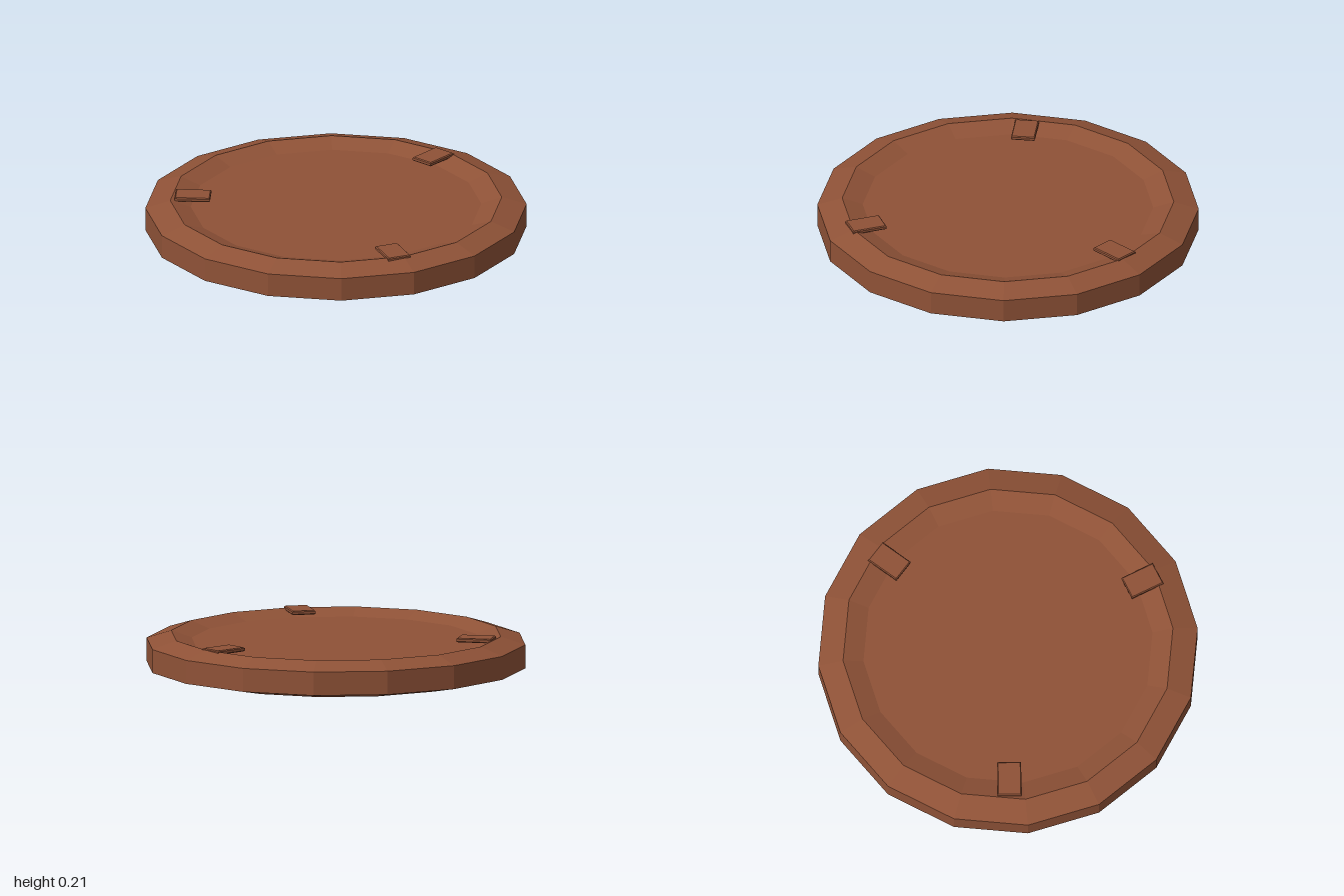
import * as THREE from 'three';

const brown = new THREE.MeshStandardMaterial({ color: 0x8f5237 });
brown.name = 'terracotta brown';
brown.flatShading = true;

// Sixteen-sided dish: bevelled foot, upright wall, sloping rim, shallow sunken floor
function makeDish() {
  const profile = [
    [0, 0], [0.81, 0], [1.0037, 0.04], [1.0037, 0.165],
    [0.873, 0.206], [0.765, 0.17], [0, 0.17],
  ].map(([r, y]) => new THREE.Vector2(r, y));
  const dish = new THREE.Mesh(
    new THREE.LatheGeometry(profile, 16, THREE.MathUtils.degToRad(-4.9)), brown);
  dish.name = 'dish';
  return dish;
}

// Thin chamfered plate, lying flat with its length along x
function makeTabGeometry(length, width, thickness, bevel) {
  const l = length / 2 - bevel, w = width / 2 - bevel;
  const shape = new THREE.Shape([
    new THREE.Vector2(-l, -w), new THREE.Vector2(l, -w),
    new THREE.Vector2(l, w), new THREE.Vector2(-l, w),
  ]);
  const geometry = new THREE.ExtrudeGeometry(shape, {
    depth: thickness - 2 * bevel,
    bevelEnabled: true, bevelSize: bevel, bevelThickness: bevel, bevelSegments: 1,
  });
  return geometry.translate(0, 0, bevel - thickness / 2).rotateX(-Math.PI / 2);
}

export function createModel() {
  const model = new THREE.Group();
  model.name = 'roundDish';
  model.add(makeDish());

  // Three tabs resting across the rim, each pointing to the centre
  const tabGeometry = makeTabGeometry(0.186, 0.126, 0.022, 0.005);
  [[0.575, -0.525], [-0.742, -0.136], [0.215, 0.762]].forEach(([x, z], i) => {
    const tab = new THREE.Mesh(tabGeometry, brown);
    tab.name = `rimTab${i + 1}`;
    tab.position.set(x, 0.203, z);
    tab.rotation.y = Math.atan2(-z, x);
    model.add(tab);
  });
  return model;
}
